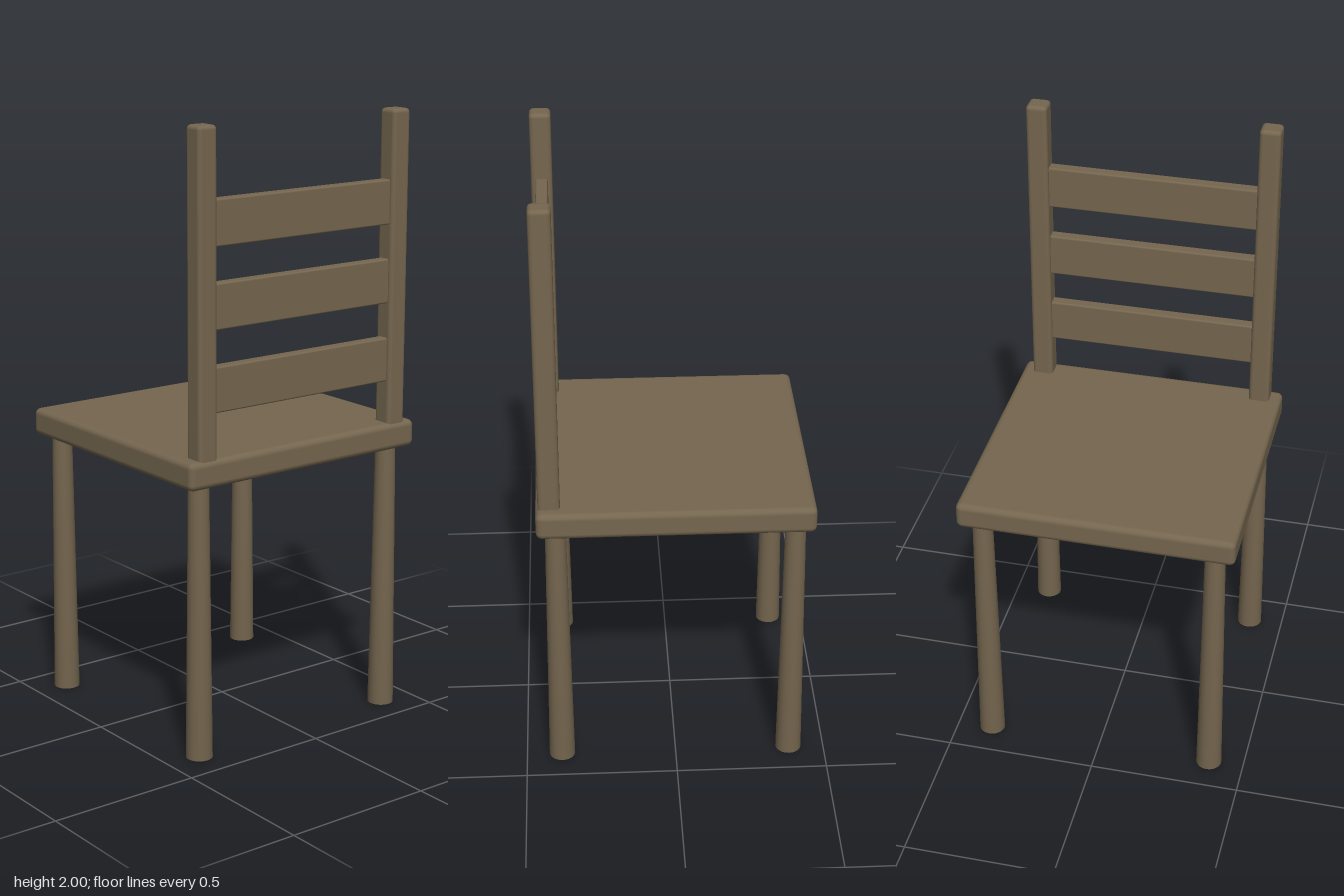
import * as THREE from 'three';
import { RoundedBoxGeometry } from 'three/addons/geometries/RoundedBoxGeometry.js';

export function createModel() {
  const chair = new THREE.Group();
  chair.name = 'chair';
  const wood = new THREE.MeshStandardMaterial({ color: 0x75664f });
  wood.name = 'brown wood';

  const add = (name, geometry, x, y, z) => {
    const mesh = new THREE.Mesh(geometry, wood);
    mesh.name = name;
    mesh.position.set(x, y, z);
    chair.add(mesh);
  };

  // Seat slab with softened edges
  add('seat', new RoundedBoxGeometry(0.91, 0.09, 0.886, 2, 0.02), 0, 0.94, 0);

  // Round legs, widening towards the floor, softly shaded into the foot
  const legProfile = [[0, 0], [0.043, 0], [0.033, 0.91]].map(([r, y]) => new THREE.Vector2(r, y));
  const leg = new THREE.LatheGeometry(legProfile, 24);

  // Square back posts
  const post = new RoundedBoxGeometry(0.07, 1.04, 0.07, 2, 0.014);

  for (const [side, x] of [['left', 1], ['right', -1]]) {
    add(side + 'FrontLeg', leg, x * 0.382, 0, 0.382);
    add(side + 'BackLeg', leg, x * 0.382, 0, -0.382);
    add(side + 'BackPost', post, x * 0.381, 1.48, 0.4);
  }

  // Horizontal slats between the posts
  const slat = new RoundedBoxGeometry(0.74, 0.144, 0.04, 2, 0.006);
  [1.195, 1.452, 1.706].forEach((y, i) => add('backSlat' + (i + 1), slat, 0, y, 0.4));

  return chair;
}
